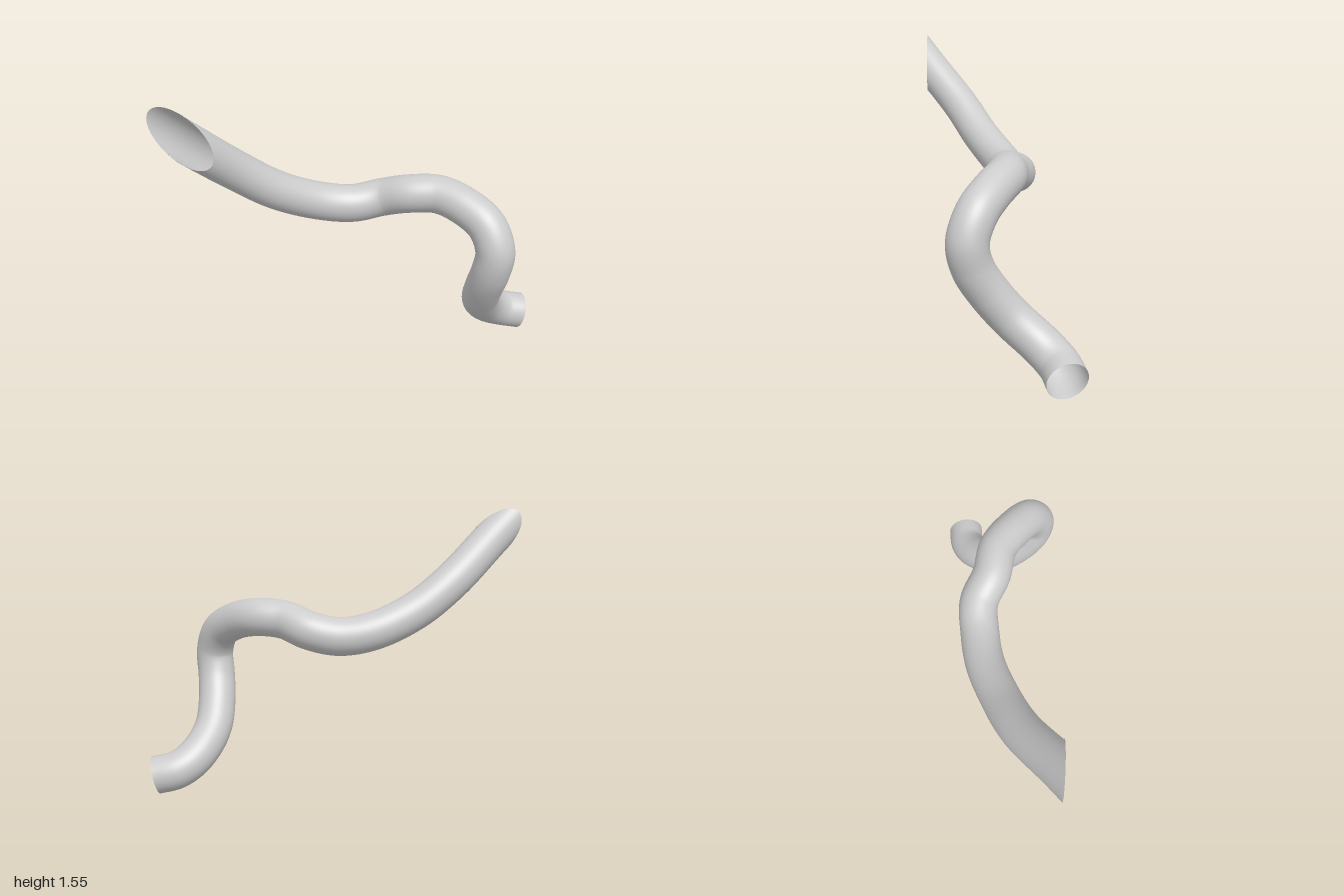
import * as THREE from 'three';

const RADIUS = 0.106;
const CUT_Z = 0.39; // plane that trims the upper mouth

// Centre line from the upper mouth to the lower mouth
const PATH = [
  [-1.07, 1.635, 0.59], [-0.835, 1.395, 0.39], [-0.61, 1.16, 0.185], [-0.42, 1.01, 0.07],
  [-0.2, 0.91, -0.035], [-0.02, 0.883, -0.08], [0.14, 0.915, -0.1],
  [0.29, 0.962, -0.045], [0.45, 0.97, -0.025], [0.6, 0.93, 0.055], [0.71, 0.855, 0.13],
  [0.758, 0.73, 0.173], [0.745, 0.6, 0.15], [0.722, 0.46, 0.07],
  [0.718, 0.32, -0.045], [0.775, 0.2, -0.185], [0.86, 0.138, -0.26], [0.977, 0.109, -0.287],
];

export function createModel() {
  const group = new THREE.Group();
  group.name = 'bentPipe';

  const curve = new THREE.CatmullRomCurve3(PATH.map((p) => new THREE.Vector3(...p)));
  const geometry = new THREE.TubeGeometry(curve, 220, RADIUS, 48, false);

  // Slanted upper mouth: slide everything past the plane back along the pipe
  const dir = new THREE.Vector3(-1.18, 1.2, 1);
  const pos = geometry.attributes.position;
  const v = new THREE.Vector3();
  for (let i = 0; i < pos.count; i++) {
    v.fromBufferAttribute(pos, i);
    if (v.z > CUT_Z) {
      v.addScaledVector(dir, CUT_Z - v.z);
      pos.setXYZ(i, v.x, v.y, v.z);
    }
  }

  // Thin open pipe, visible inside and out
  const material = new THREE.MeshStandardMaterial({ color: 0xcccccc, side: THREE.DoubleSide });
  const pipe = new THREE.Mesh(geometry, material);
  pipe.name = 'pipe';
  group.add(pipe);
  return group;
}
